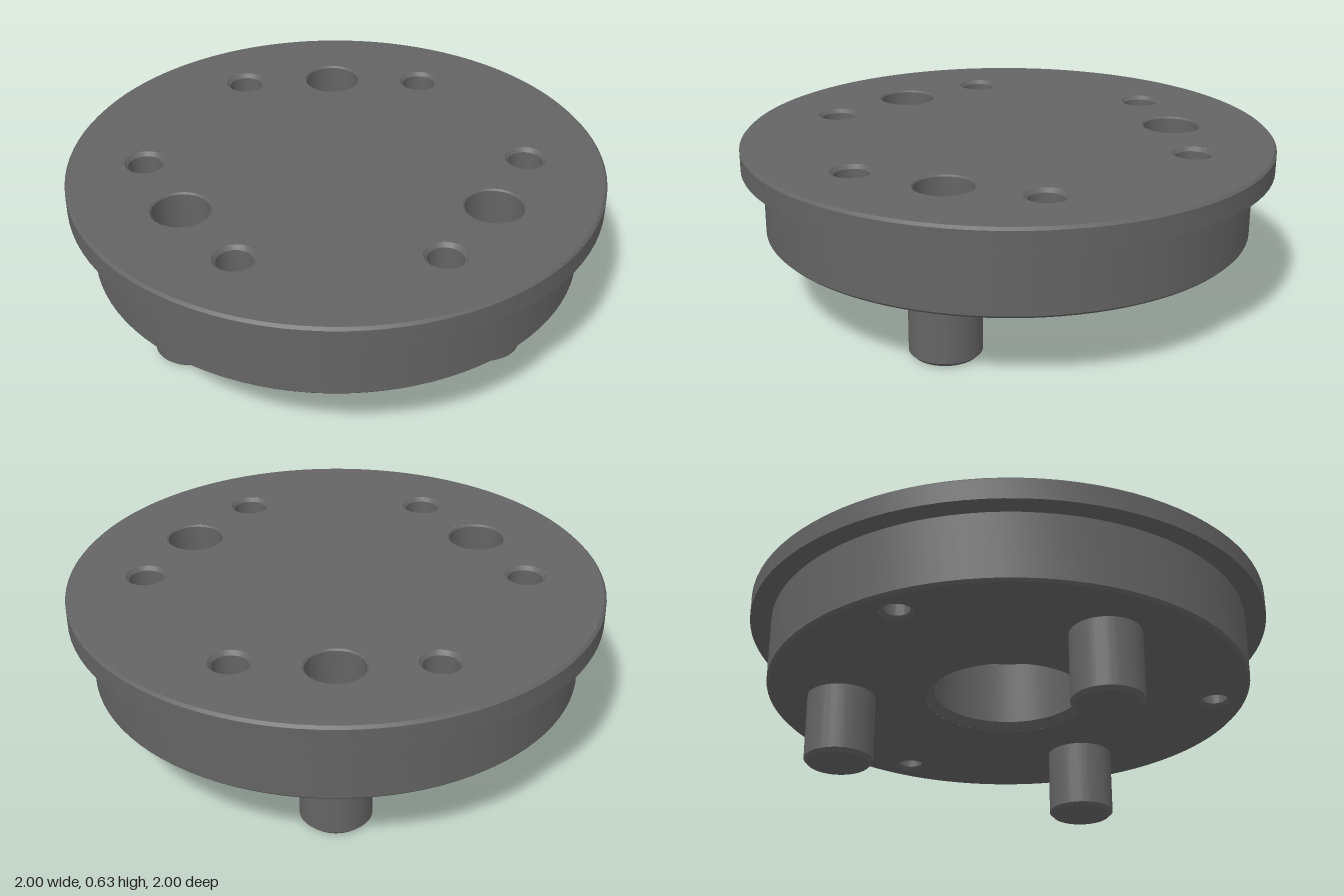
import * as THREE from 'three';
import { toCreasedNormals } from 'three/addons/utils/BufferGeometryUtils.js';

const SEGMENTS = 96;
const TOP = 0.622, LEDGE = 0.535, BOTTOM = 0.275, PIN_END = 0.004;
const BEVEL = 0.01;

export function createModel() {
  const metal = new THREE.MeshStandardMaterial({ color: 0x646464 });
  metal.name = 'dark grey metal';

  const model = new THREE.Group();
  const plate = new THREE.Group();
  plate.name = 'pinPlate';
  plate.rotation.x = -0.005; // the plate leans very slightly
  model.add(plate);

  const add = (name, geometry, x = 0, y = 0, z = 0) => {
    const mesh = new THREE.Mesh(geometry, metal);
    mesh.name = name;
    mesh.position.set(x, y, z);
    plate.add(mesh);
    return mesh;
  };
  const lathe = (profile) => toCreasedNormals(
    new THREE.LatheGeometry(profile.map(([r, y]) => new THREE.Vector2(r, y)), SEGMENTS), 0.5);
  const polar = (radius, degrees) => {
    const a = THREE.MathUtils.degToRad(degrees);
    return { x: radius * Math.cos(a), z: radius * Math.sin(a) };
  };

  // Flat face pierced by round holes; side is +1 for the top, -1 for the underside
  const face = (name, radius, y, holes, side) => {
    const shape = new THREE.Shape().absarc(0, 0, radius, 0, Math.PI * 2);
    for (const h of holes) {
      shape.holes.push(new THREE.Path().absarc(h.x, -side * h.z, h.r, 0, Math.PI * 2, true));
    }
    add(name, new THREE.ShapeGeometry(shape, SEGMENTS).rotateX(-side * Math.PI / 2), 0, y, 0);
  };
  // Blind hole with a chamfered mouth and a flat or drilled (conical) end
  const bore = (h, y, side) => {
    const inner = h.r - h.chamfer;
    const mesh = add(h.name, lathe([
      [h.r, 0], [inner, -h.chamfer], [inner, -h.depth], [0, -h.depth - h.tip],
    ]), h.x, y, h.z);
    if (side < 0) mesh.rotation.x = Math.PI;
  };

  // Holes and pins repeat three times around the axis
  const topHoles = [];
  const bottomHoles = [{ name: 'centreBore', x: 0, z: 0, r: 0.315, chamfer: 0.03, depth: 0.29, tip: 0 }];
  const pin = lathe([
    [0, PIN_END], [0.116, PIN_END], [0.13, PIN_END + 0.014], [0.13, BOTTOM + 0.01],
  ]);
  for (let i = 0; i < 3; i++) {
    const angle = 12 + i * 120;
    const seat = polar(0.64, angle);
    add('locatingPin', pin, seat.x, 0, seat.z);
    topHoles.push({ name: 'pinHole', ...seat, r: 0.112, chamfer: 0.006, depth: 0.2, tip: 0 });
    for (const offset of [-30, 30]) {
      topHoles.push({
        name: 'screwHole', ...polar(0.71, angle + offset),
        r: 0.078, chamfer: 0.014, depth: 0.15, tip: 0.03,
      });
    }
    bottomHoles.push({
      name: 'undersideHole', ...polar(0.8, angle + 60),
      r: 0.06, chamfer: 0.013, depth: 0.12, tip: 0.025,
    });
  }

  // Outer wall: bevelled body below a wider flange
  add('bodyAndFlange', lathe([
    [0.92 - BEVEL, BOTTOM], [0.92, BOTTOM + BEVEL], [0.92, LEDGE],
    [1, LEDGE], [1, TOP - BEVEL], [1 - BEVEL, TOP],
  ]));

  face('topFace', 1 - BEVEL, TOP, topHoles, 1);
  face('undersideFace', 0.92 - BEVEL, BOTTOM, bottomHoles, -1);
  topHoles.forEach((h) => bore(h, TOP, 1));
  bottomHoles.forEach((h) => bore(h, BOTTOM, -1));

  return model;
}
